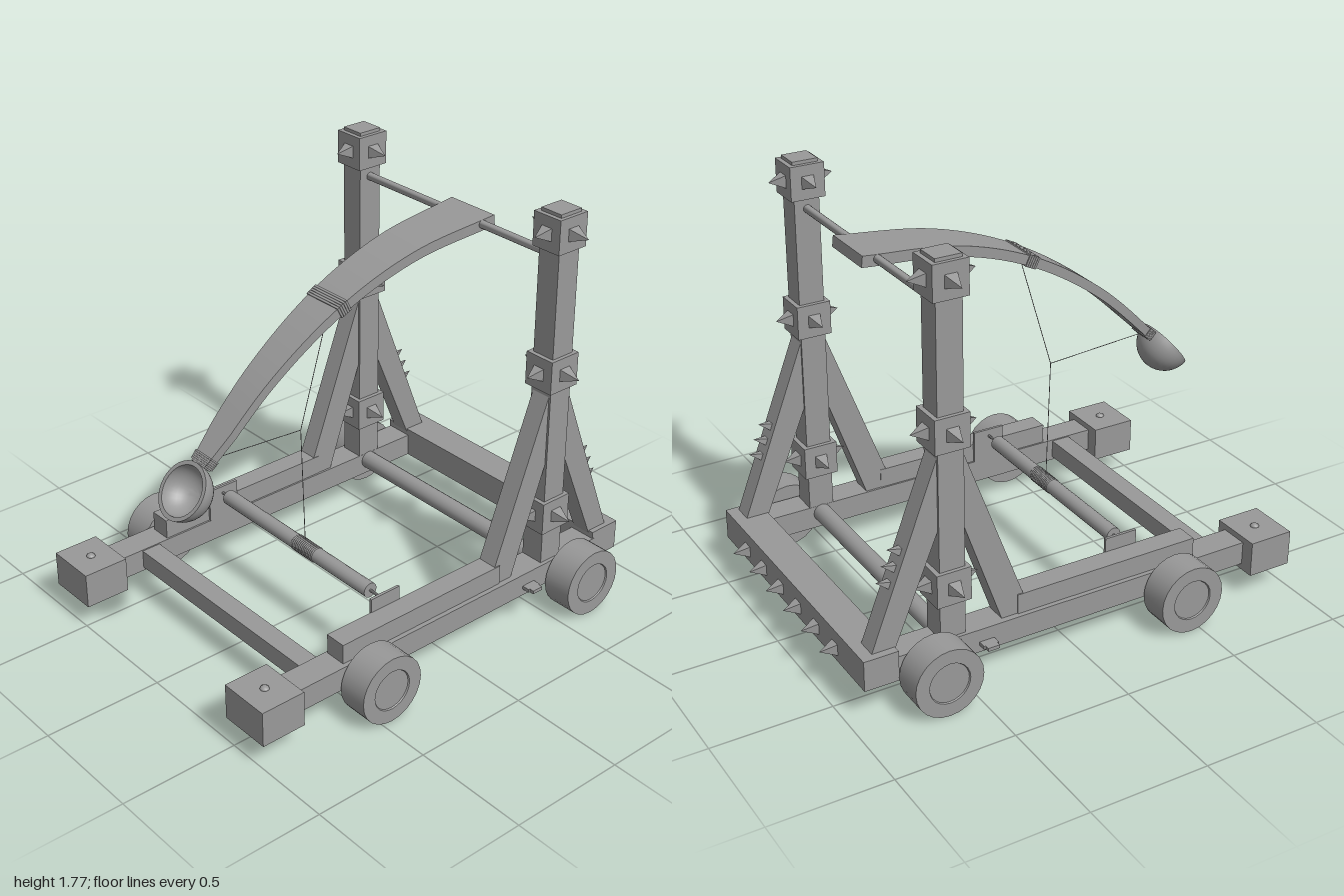
import * as THREE from 'three';
import { toCreasedNormals } from 'three/addons/utils/BufferGeometryUtils.js';

const color = 0x999999;
const flat = new THREE.MeshStandardMaterial({ color, flatShading: true });
const smooth = new THREE.MeshStandardMaterial({ color });
const thin = new THREE.MeshStandardMaterial({ color, side: THREE.DoubleSide });
const UP = new THREE.Vector3(0, 1, 0);

export function createModel() {
  const model = new THREE.Group();
  model.name = 'catapult';

  function add(name, geometry, material = flat) {
    const mesh = new THREE.Mesh(geometry, material);
    mesh.name = name;
    model.add(mesh);
    return mesh;
  }
  // Box given by its limits on each axis
  function box(name, x0, x1, y0, y1, z0, z1) {
    const g = new THREE.BoxGeometry(x1 - x0, y1 - y0, Math.abs(z1 - z0));
    add(name, g).position.set((x0 + x1) / 2, (y0 + y1) / 2, (z0 + z1) / 2);
  }
  // Round bar between two points
  function bar(name, a, b, r, sides = 16) {
    const p = new THREE.Vector3(...a), q = new THREE.Vector3(...b);
    const g = new THREE.CylinderGeometry(r, r, p.distanceTo(q), sides);
    const m = add(name, toCreasedNormals(g, 0.8), smooth);
    m.position.copy(p).add(q).multiplyScalar(0.5);
    m.quaternion.setFromUnitVectors(UP, q.sub(p).normalize());
  }
  // Pyramid spike standing on a base point
  function spike(name, base, dir, half, length) {
    const g = new THREE.ConeGeometry(half * Math.SQRT2, length, 4);
    g.rotateY(Math.PI / 4);
    g.translate(0, length / 2, 0);
    const m = add(name, g);
    m.position.set(...base);
    m.quaternion.setFromUnitVectors(UP, new THREE.Vector3(...dir).normalize());
  }

  // Chassis cross beams and axle
  box('rearBeam', 0.79, 0.935, 0.135, 0.265, -0.645, 0.635);
  box('frontBeam', -0.695, -0.61, 0.15, 0.23, -0.53, 0.53);
  bar('axle', [0.547, 0.2, -0.53], [0.547, 0.2, 0.53], 0.039);
  for (let i = 0; i < 6; i++) {
    spike('beamSpike', [0.935, 0.188, -0.4 + i * 0.163], [1, 0, 0], 0.024, 0.065);
  }

  // Triangular brace outlines, in front of and behind the post
  const braces = [
    [[0.235, 0.32], [0.235, 0.235], [0.33, 0.235], [0.5, 0.715], [0.5, 1.02]],
    [[0.595, 1.02], [0.595, 0.72], [0.797, 0.235], [0.897, 0.235]],
  ].map((pts) => {
    const shape = new THREE.Shape(pts.map((p) => new THREE.Vector2(...p)));
    const g = new THREE.ExtrudeGeometry(shape, { depth: 0.086, bevelEnabled: false });
    return g.translate(0, 0, -0.043);
  });

  // Wheel profile, sharp at the rim with a shallow sunken hub
  const wheelProfile = [
    [0, -0.065], [0.145, -0.065], [0.145, 0.065], [0.087, 0.065], [0.084, 0.059], [0, 0.059],
  ].map((p) => new THREE.Vector2(...p));
  const wheel = toCreasedNormals(new THREE.LatheGeometry(wheelProfile, 24), 0.5);

  for (const s of [1, -1]) {
    // Side rail, plank, end block and its bolts
    box('rail', -0.93, 0.8, 0.135, 0.235, s * 0.517, s * 0.638);
    box('plank', -0.565, 0.26, 0.235, 0.32, s * 0.525, s * 0.618);
    const bz = s * 0.578 - 0.009;
    box('endBlock', -1, -0.805, 0.108, 0.26, bz - 0.112, bz + 0.112);
    for (const y of [0.108, 0.26]) {
      const bolt = add('bolt', new THREE.SphereGeometry(0.019, 10, 6), smooth);
      bolt.scale.y = 0.65;
      bolt.position.set(-0.902, y, bz);
    }
    box('peg', 0.385, 0.435, 0.165, 0.18, s * 0.63, s * 0.692);
    box('pegCollar', 0.378, 0.442, 0.165, 0.18, s * 0.63, s * 0.672);

    // Upright post, braces and the spikes on the rear brace
    box('post', 0.494, 0.602, 0.2, 1.775, s * 0.518, s * 0.622);
    braces.forEach((g) => { add('brace', g).position.z = s * 0.57; });
    for (const [x, y] of [[0.733, 0.64], [0.758, 0.577], [0.782, 0.513]]) {
      spike('braceSpike', [x, y, s * 0.57], [0.93, 0.33, 0], 0.017, 0.062);
    }

    // Spiked cuffs around the post
    for (const y of [1.69, 1.1, 0.457]) {
      box('cuff', 0.475, 0.621, y - 0.071, y + 0.071, s * 0.5, s * 0.638);
      for (const d of [-1, 1]) {
        spike('cuffSpike', [0.548 + d * 0.073, y, s * 0.569], [d, 0, 0], 0.026, 0.064);
        spike('cuffSpike', [0.548, y, s * 0.569 + d * 0.069], [0, 0, d], 0.026, 0.078);
      }
    }

    // Wheels
    for (const x of [-0.455, 0.647]) {
      const w = add('wheel', wheel, smooth);
      w.position.set(x, 0.148, s * 0.711);
      w.rotation.x = s * Math.PI / 2;
    }
    // Bracket plates for the winch
    box('winchBracket', -0.345, -0.2, 0.235, 0.38, s * 0.515, s * 0.527);
  }

  // Winch roller with wound rope
  bar('winchPin', [-0.275, 0.348, -0.525], [-0.275, 0.348, 0.525], 0.006, 8);
  bar('winchRoller', [-0.275, 0.348, -0.472], [-0.275, 0.348, 0.44], 0.032);
  for (let i = 0; i < 14; i++) {
    const coil = add('ropeCoil', new THREE.TorusGeometry(0.03, 0.005, 6, 20), smooth);
    coil.position.set(-0.275, 0.348, -0.01 + i * 0.0094);
  }

  // Pivot rod at the top
  bar('pivotRod', [0.547, 1.574, -0.53], [0.547, 1.574, 0.53], 0.017);

  // Curved, tapering throwing arm: a box bent along a curve
  const path = new THREE.CatmullRomCurve3([
    [-0.77, 0.92], [-0.47, 1.2], [-0.14, 1.408], [0.2, 1.527], [0.612, 1.575],
  ].map(([x, y]) => new THREE.Vector3(x, y, 0)));
  const armWidth = (u) => (u < 0.1 ? 0.08 + u * 0.4 : 0.12 + (u - 0.1) * 0.139);
  function armPiece(name, u0, u1, extra, segments) {
    const g = new THREE.BoxGeometry(1, 1, 1, segments, 1, 1);
    const p = g.attributes.position;
    for (let i = 0; i < p.count; i++) {
      const u = THREE.MathUtils.lerp(u0, u1, p.getX(i) + 0.5);
      const c = path.getPointAt(u), t = path.getTangentAt(u);
      const h = p.getY(i) * (0.036 + 0.01 * u + extra);
      p.setXYZ(i, c.x - t.y * h, c.y + t.x * h, 0.037 + p.getZ(i) * (armWidth(u) + extra));
    }
    add(name, toCreasedNormals(g, 0.5), smooth);
  }
  armPiece('throwingArm', 0, 1, 0, 30);
  for (let i = 0; i < 5; i++) {
    const u = 0.491 + i * 0.0066;
    armPiece('armBinding', u, u + 0.0058, 0.01, 1);
    armPiece('tipBinding', 0.004 + i * 0.005, 0.0084 + i * 0.005, 0.008, 1);
  }

  // Hollow cup at the arm tip: outer bowl up to the rim, then inner bowl back down
  const cupProfile = [];
  for (let i = 0; i <= 21; i++) {
    const a = (Math.min(i, 21 - i) / 10) * Math.PI / 2;
    const r = i <= 10 ? 0.119 : 0.102;
    cupProfile.push(new THREE.Vector2(Math.sin(a) * r, -Math.cos(a) * r));
  }
  const cup = add('cup', toCreasedNormals(new THREE.LatheGeometry(cupProfile, 32), 0.7), thin);
  cup.position.set(-0.864, 0.851, 0.043);
  cup.rotation.z = 0.91;

  // Ropes from arm and tip meeting above the winch
  const knot = [-0.288, 0.897, 0.037];
  bar('tipRope', [-0.76, 0.932, 0.037], knot, 0.0015, 6);
  bar('armRope', [-0.14, 1.385, 0.037], knot, 0.0015, 6);
  bar('winchRope', knot, [-0.273, 0.37, 0.037], 0.0015, 6);

  return model;
}
